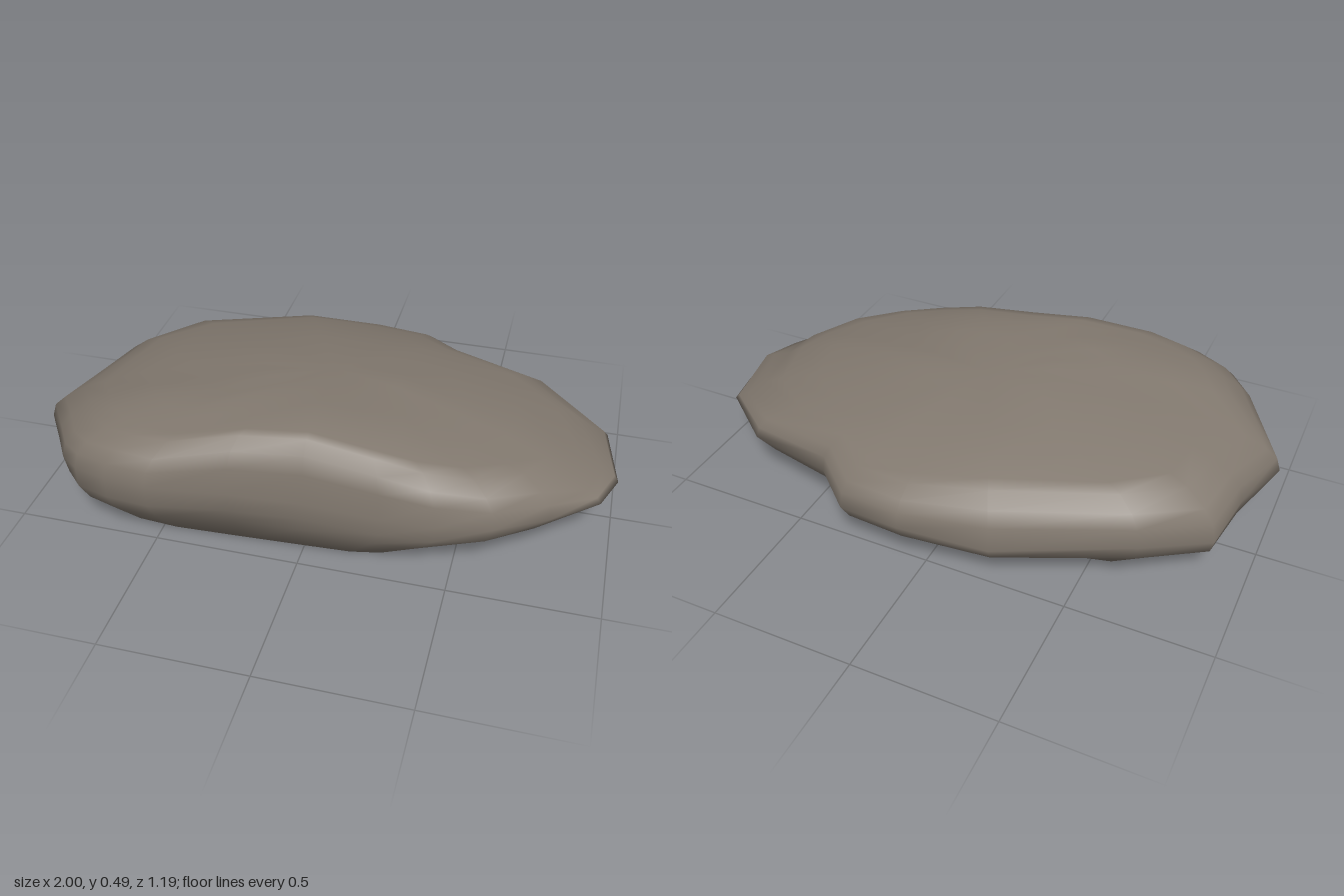
import * as THREE from 'three';

// Piecewise-linear profile lookup
function profile(points, v) {
  if (v <= points[0][0]) return points[0][1];
  for (let i = 1; i < points.length; i++) {
    const [x0, y0] = points[i - 1], [x1, y1] = points[i];
    if (v <= x1) return y0 + (y1 - y0) * (v - x0) / (x1 - x0);
  }
  return points[points.length - 1][1];
}

const PEAK = 0.495;
// Crown height along x and along z, with the front left corner sloping away
const alongX = [[-1, 0.31], [-0.9, 0.345], [-0.73, 0.415], [-0.6, 0.45], [-0.2, PEAK], [0.25, 0.468], [0.7, 0.385], [0.83, 0.335], [0.88, 0.29], [1, 0.27]];
const alongZ = [[-0.6, 0.32], [-0.54, 0.345], [-0.36, 0.41], [-0.2, 0.445], [0, 0.473], [0.31, PEAK], [0.52, 0.465], [0.6, 0.42]];
const crownHeight = (x, z) => profile(alongX, x) + profile(alongZ, z) - PEAK
  - 0.2 * Math.max(0, x) * Math.max(0, z);

// Stations around the stone: rim x, rim z, rim height, base x, base z, flank fullness
const stations = [
  [1.0, 0.05, 0.2, 0.38, 0.04, 0.47],
  [0.95, 0.18, 0.2, 0.37, 0.14, 0.48],
  [0.8, 0.31, 0.21, 0.36, 0.25, 0.52],
  [0.63, 0.42, 0.22, 0.33, 0.34, 0.58],
  [0.45, 0.47, 0.23, 0.26, 0.39, 0.7],
  [0.27, 0.487, 0.24, 0.16, 0.41, 0.75],
  [0.02, 0.485, 0.25, -0.02, 0.42, 0.7],
  [-0.22, 0.535, 0.28, -0.22, 0.43, 0.58],
  [-0.48, 0.592, 0.3, -0.45, 0.44, 0.7],
  [-0.63, 0.57, 0.29, -0.59, 0.43, 0.75],
  [-0.75, 0.53, 0.28, -0.68, 0.4, 0.75],
  [-0.83, 0.46, 0.26, -0.73, 0.34, 0.6],
  [-0.9, 0.35, 0.24, -0.76, 0.26, 0.35],
  [-1.0, 0.2, 0.22, -0.78, 0.15, 0.3],
  [-0.925, -0.01, 0.22, -0.78, 0.0, 0.6],
  [-0.89, -0.2, 0.18, -0.74, -0.12, 0.6],
  [-0.69, -0.37, 0.22, -0.57, -0.25, 0.55],
  [-0.25, -0.545, 0.18, -0.22, -0.34, 0.52],
  [0.05, -0.6, 0.21, 0.03, -0.36, 0.52],
  [0.27, -0.58, 0.2, 0.16, -0.34, 0.52],
  [0.41, -0.46, 0.22, 0.26, -0.27, 0.48],
  [0.73, -0.39, 0.21, 0.33, -0.2, 0.48],
  [0.95, -0.21, 0.2, 0.37, -0.09, 0.48],
];

// Lower flank ring: moves from base to rim
const flank = (reach, lift) => stations.map(([x, z, y, bx, bz, full]) => {
  const t = reach(full);
  return [bx + (x - bx) * t, 0.01 + (y - 0.01) * lift, bz + (z - bz) * t];
});

// Upper ring: shrinks the rim and blends it up to the crown
const shoulder = (scale, blend) => stations.map(([x, z, y]) => {
  const px = x * scale, pz = z * scale;
  return [px, y + (crownHeight(px, pz) - y) * blend, pz];
});

function stoneGeometry() {
  const rings = [
    flank(() => 0, 0),
    flank((f) => f, 0.46),
    flank((f) => 0.65 + f * 0.45, 0.72),
    shoulder(1, 0),
    shoulder(0.985, 0.55),
    shoulder(0.945, 0.83),
    shoulder(0.87, 1),
    shoulder(0.8, 1),
    shoulder(0.65, 1),
    shoulder(0.45, 1),
    shoulder(0.24, 1),
  ];
  const n = stations.length, last = (rings.length - 1) * n;
  const positions = rings.flat(2);
  const bottom = rings.length * n, top = bottom + 1;
  positions.push(-0.2, 0, 0.03, 0, crownHeight(0, 0), 0);

  const index = [];
  for (let i = 0; i < n; i++) {
    const j = (i + 1) % n;
    for (let r = 0; r < last; r += n) {
      const a = r + i, b = r + j, c = a + n, d = b + n;
      index.push(a, c, b, b, c, d);
    }
    index.push(bottom, i, j, top, last + j, last + i);
  }
  const geometry = new THREE.BufferGeometry();
  geometry.setAttribute('position', new THREE.Float32BufferAttribute(positions, 3));
  geometry.setIndex(index);
  geometry.computeVertexNormals();
  return geometry;
}

export function createModel() {
  const group = new THREE.Group();
  group.name = 'flatRock';
  const stone = new THREE.MeshStandardMaterial({ color: 0x82796f });
  stone.name = 'greyBrownStone';
  const rock = new THREE.Mesh(stoneGeometry(), stone);
  rock.name = 'stoneBody';
  group.add(rock);
  return group;
}
